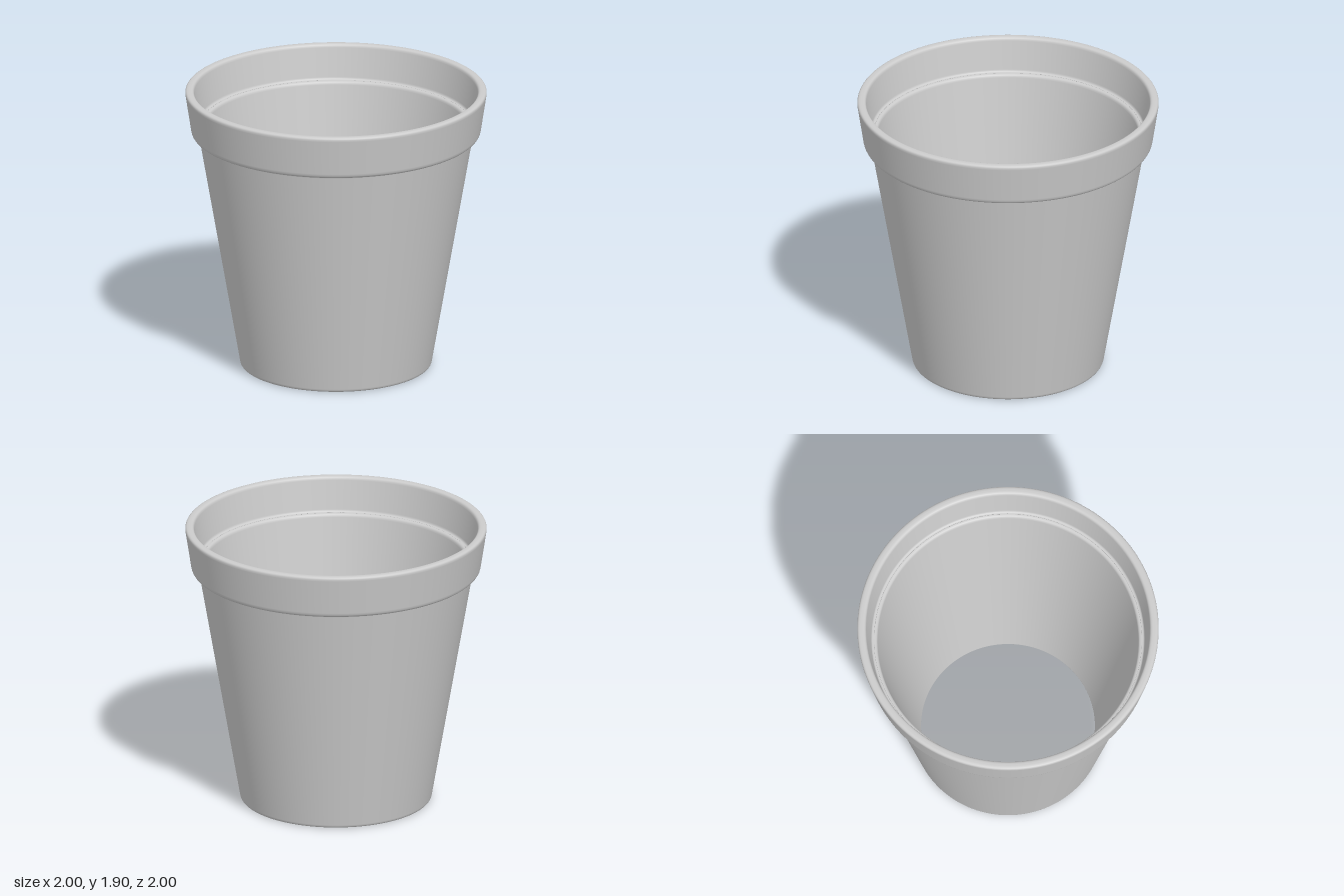
import * as THREE from 'three';

// Closed wall profile: [radius, height, corner rounding]
const corners = [
  [0.575, 0, 0.008],     // inner foot
  [0.633, 0, 0.02],      // outer foot
  [0.911, 1.605, 0.012], // underside of the collar
  [0.957, 1.605, 0.03],  // lower edge of the collar
  [1.003, 1.905, 0.025], // outer lip
  [0.944, 1.905, 0.02],  // inner lip
  [0.905, 1.67, 0.015],  // inner ledge, outside
  [0.868, 1.67, 0.02],   // inner ledge, inside
];

// Round every corner with a short curve, with a support point on each side
function roundedProfile(list) {
  const points = [];
  list.forEach(([x, y, r], i) => {
    const corner = new THREE.Vector2(x, y);
    const towards = (other, d) => {
      const end = new THREE.Vector2(other[0], other[1]);
      return end.sub(corner).setLength(d).add(corner);
    };
    const before = list[(i + list.length - 1) % list.length];
    const after = list[(i + 1) % list.length];
    const curve = new THREE.QuadraticBezierCurve(towards(before, r), corner, towards(after, r));
    points.push(towards(before, r * 1.15), ...curve.getPoints(5), towards(after, r * 1.15));
  });
  points.push(points[0].clone());
  return points;
}

export function createModel() {
  const group = new THREE.Group();
  group.name = 'flowerPot';

  // Open-bottomed pot with a thick collar
  const material = new THREE.MeshStandardMaterial({ color: 0xcccccc });
  const pot = new THREE.Mesh(new THREE.LatheGeometry(roundedProfile(corners), 128), material);
  pot.name = 'potWall';
  group.add(pot);

  return group;
}
